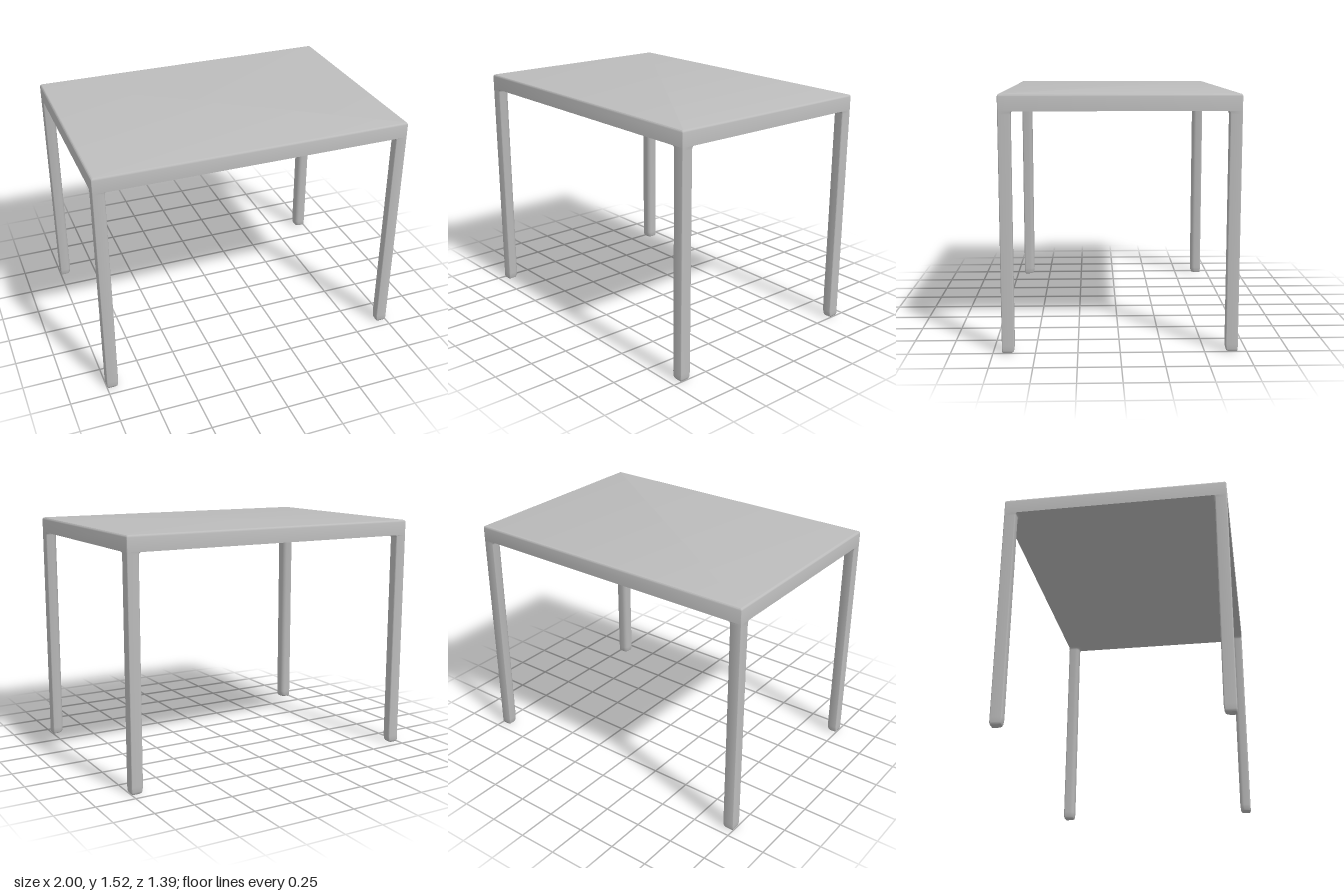
import * as THREE from 'three';
import { toCreasedNormals } from 'three/addons/utils/BufferGeometryUtils.js';

const W = 1, D = 0.697, H = 1.52, UNDER = 1.422, LEG = 0.074;

// Rectangle outline [x, z] with its own radius at each corner, ordered from (x0, z0)
function roundedRect(x0, x1, z0, z1, radii, steps = 5) {
  const corners = [[x0, z0, 1, 1], [x1, z0, -1, 1], [x1, z1, -1, -1], [x0, z1, 1, -1]];
  const points = [];
  corners.forEach(([x, z, sx, sz], i) => {
    const r = radii[i];
    for (let k = 0; k <= steps; k++) {
      const a = Math.PI + (i + k / steps) * Math.PI / 2;
      points.push([x + sx * r + r * Math.cos(a), z + sz * r + r * Math.sin(a)]);
    }
  });
  return points;
}

// Skins stacked outlines and closes both ends; flips allow mirrored copies
function loft(levels, flipX = 1, flipZ = 1) {
  const n = levels[0].outline.length;
  const position = [], index = [];
  for (const { y, outline } of levels) {
    for (const [x, z] of outline) position.push(x * flipX, y, z * flipZ);
  }
  const tri = (a, b, c) => (flipX * flipZ > 0 ? index.push(a, b, c) : index.push(a, c, b));
  for (let l = 0; l < levels.length - 1; l++) {
    for (let i = 0; i < n; i++) {
      const a = l * n + i, b = l * n + (i + 1) % n;
      tri(a, a + n, b);
      tri(b, a + n, b + n);
    }
  }
  const top = (levels.length - 1) * n;
  for (let i = 1; i < n - 1; i++) {
    tri(0, i, i + 1);
    tri(top, top + i + 1, top + i);
  }
  const geometry = new THREE.BufferGeometry();
  geometry.setAttribute('position', new THREE.Float32BufferAttribute(position, 3));
  geometry.setIndex(index);
  return toCreasedNormals(geometry, 0.6);
}

export function createModel() {
  const table = new THREE.Group();
  table.name = 'table';
  const grey = new THREE.MeshStandardMaterial({ color: 0xbcbcbc });
  grey.name = 'light grey';

  // Slab with softened top edges
  const slabLevels = [[UNDER, 0], [H - 0.014, 0], [H - 0.007, 0.002], [H - 0.002, 0.006], [H, 0.013]]
    .map(([y, inset]) => ({
      y,
      outline: roundedRect(-W + inset, W - inset, -D + inset, D - inset, [0.006, 0.006, 0.006, 0.006]),
    }));
  const tabletop = new THREE.Mesh(loft(slabLevels), grey);
  tabletop.name = 'tabletop';
  table.add(tabletop);

  // Legs flush with the slab corners: inner corner rounded, foot tapered, fillet under the slab
  // Each entry: height, width, inset of the outer faces
  const legProfile = [
    [0, 0.058, 0.005], [0.005, 0.067, 0.002], [0.015, 0.071, 0], [0.045, LEG, 0],
    [UNDER - 0.018, LEG, 0], [UNDER - 0.007, LEG + 0.003, 0], [UNDER - 0.002, LEG + 0.008, 0],
    [UNDER, LEG + 0.015, 0],
  ];
  const legLevels = legProfile.map(([y, w, inset]) => ({
    y,
    outline: roundedRect(W - w, W - inset, D - w, D - inset, [0.028, 0.008, 0.006, 0.008]),
  }));
  for (const [sideName, sx] of [['Left', 1], ['Right', -1]]) {
    for (const [endName, sz] of [['front', 1], ['back', -1]]) {
      const leg = new THREE.Mesh(loft(legLevels, sx, sz), grey);
      leg.name = `${endName}${sideName}Leg`;
      table.add(leg);
    }
  }
  return table;
}
